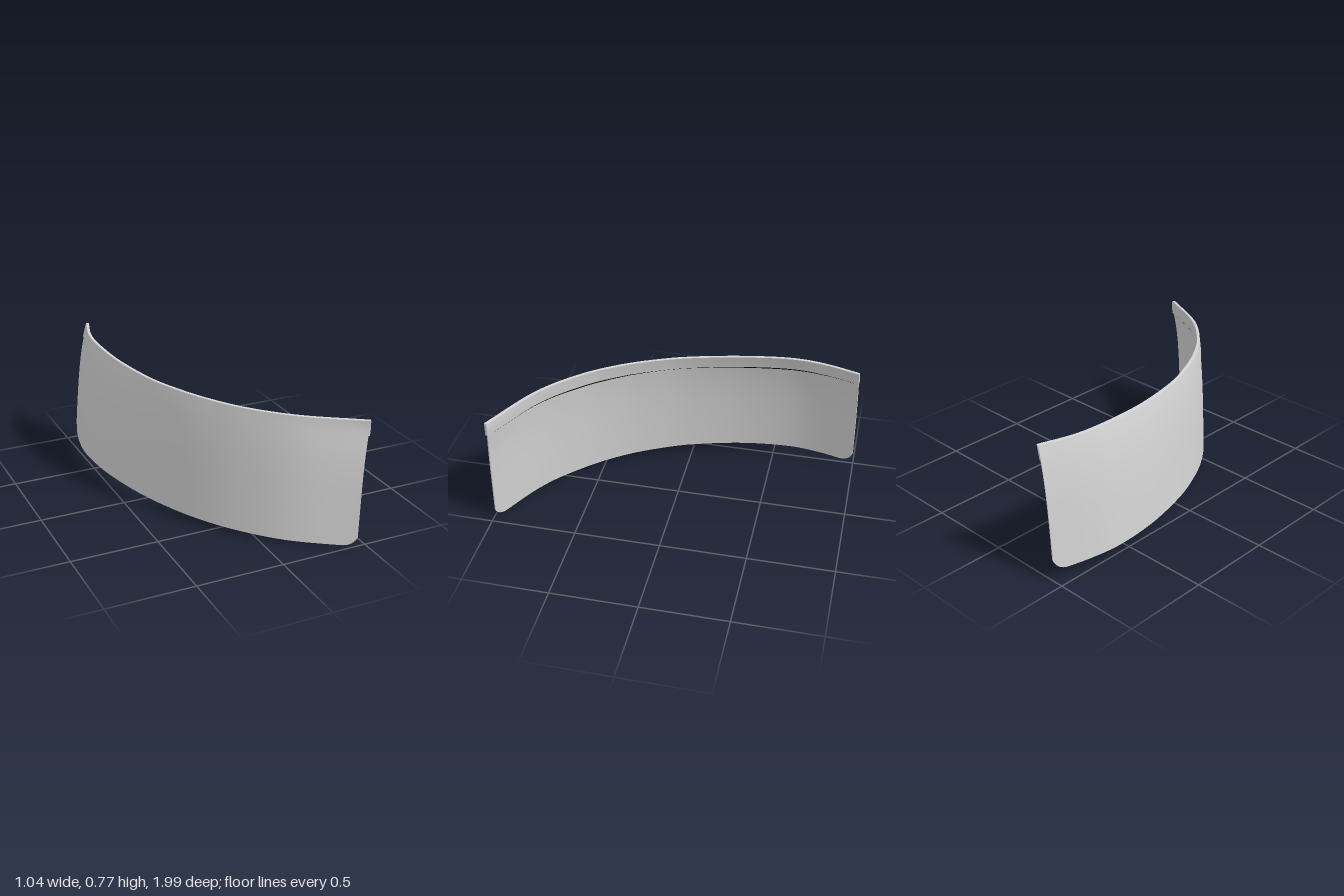
import * as THREE from 'three';
import { toCreasedNormals } from 'three/addons/utils/BufferGeometryUtils.js';

const curve = (pts) =>
  new THREE.CatmullRomCurve3(pts.map((p) => new THREE.Vector3(...p)), false, 'catmullrom', 0.5);

// Matching guide curves along the upper and lower edges, rear to front
const upper = curve([
  [-0.336, 0.767, -0.985], [-0.395, 0.767, -0.78], [-0.413, 0.767, -0.58], [-0.391, 0.756, -0.3],
  [-0.329, 0.748, 0], [-0.257, 0.745, 0.2], [-0.16, 0.742, 0.395], [-0.022, 0.737, 0.59],
  [0.19, 0.73, 0.785], [0.513, 0.714, 0.965],
]);
const lower = curve([
  [-0.435, 0.06, -0.998], [-0.49, 0.062, -0.78], [-0.512, 0.061, -0.58], [-0.487, 0.057, -0.3],
  [-0.413, 0.051, 0], [-0.33, 0.044, 0.21], [-0.229, 0.036, 0.4], [-0.08, 0.025, 0.6],
  [0.137, 0.013, 0.806], [0.461, -0.005, 0.997],
]);

// Point on the flared wall: u along, h from bottom (0) to top (1), offset towards the hollow side
function wallPoint(u, h, offset) {
  const a = lower.getPoint(u), b = upper.getPoint(u), t = upper.getTangent(u);
  // The flare turns upright under the trim at the front end
  const f = 0.6 * h + 0.4 * h ** 4 + 5 * u ** 10 * h ** 10 * (1 - h);
  const len = Math.hypot(t.x, t.z);
  return [
    a.x + (b.x - a.x) * f + (t.z / len) * offset,
    a.y + (b.y - a.y) * h,
    a.z + (b.z - a.z) * f - (t.x / len) * offset,
  ];
}

// Closed solid swept along the wall; side(u) lists [h, innerOffset, outerOffset] from bottom to top
function sweepWall(u0, u1, side, steps = 90) {
  const pos = [], idx = [];
  let n = 0;
  for (let i = 0; i <= steps; i++) {
    const w = i / steps;
    const e = w - (0.9 * Math.sin(2 * Math.PI * w)) / (2 * Math.PI); // denser at the ends
    const u = THREE.MathUtils.clamp(u0 + (u1 - u0) * e, 0, 1);
    const rows = side(u);
    n = rows.length;
    rows.forEach(([h, inner]) => pos.push(...wallPoint(u, h, inner)));
    [...rows].reverse().forEach(([h, , outer]) => pos.push(...wallPoint(u, h, outer)));
  }
  const m = 2 * n;
  for (let i = 0; i < steps; i++) {
    for (let j = 0; j < m; j++) {
      const a = i * m + j, b = i * m + ((j + 1) % m);
      idx.push(a, b, b + m, a, b + m, a + m);
    }
  }
  // End caps
  const last = steps * m;
  for (let k = 0; k < n - 1; k++) {
    const p = k, q = k + 1, r = m - 2 - k, s = m - 1 - k;
    idx.push(p, r, q, p, s, r);
    idx.push(last + p, last + q, last + r, last + p, last + r, last + s);
  }
  const g = new THREE.BufferGeometry();
  g.setAttribute('position', new THREE.Float32BufferAttribute(pos, 3));
  g.setIndex(idx);
  return toCreasedNormals(g, 0.6);
}

// Height fraction of the lower edge, raised to round both bottom corners
function bottomEdge(u) {
  const r = 0.085;
  const s = Math.min(u * 9 * 0.22, (1 - u) * 9 * 0.37, r);
  return (r - Math.sqrt(Math.max(0, r * r - (r - s) ** 2))) / 0.7;
}

export function createModel() {
  const model = new THREE.Group();
  model.name = 'curvedPanel';
  const grey = new THREE.MeshStandardMaterial({ color: 0xd3d3d3 });
  grey.name = 'light grey';
  const black = new THREE.MeshStandardMaterial({ color: 0x0c0c0c });
  black.name = 'black';

  const add = (name, geometry, material) => {
    const mesh = new THREE.Mesh(geometry, material);
    mesh.name = name;
    model.add(mesh);
  };

  // Flared curved sheet with rounded lower corners
  add('panel', sweepWall(0.001, 0.998, (u) => {
    const h0 = bottomEdge(u), rows = [];
    for (let k = 0; k <= 16; k++) rows.push([h0 + (0.95 - h0) * (k / 16), 0.004, -0.004]);
    return rows;
  }), grey);

  // Thicker trim wrapped over the upper edge
  add('topTrim', sweepWall(0, 1, () => [
    [0.883, 0.009, -0.009], [0.92, 0.009, -0.009], [0.96, 0.009, -0.009],
    [0.997, 0.009, -0.009], [1, 0.007, -0.007],
  ]), grey);

  // Dark seal of uneven height under the trim on the hollow side
  add('seal', sweepWall(0.01, 0.985, (u) => {
    const h = 0.879 - 0.009 * Math.sin(u * Math.PI * 2) ** 2;
    return [[h, 0.007, 0.002], [0.885, 0.007, 0.002]];
  }), black);

  return model;
}
